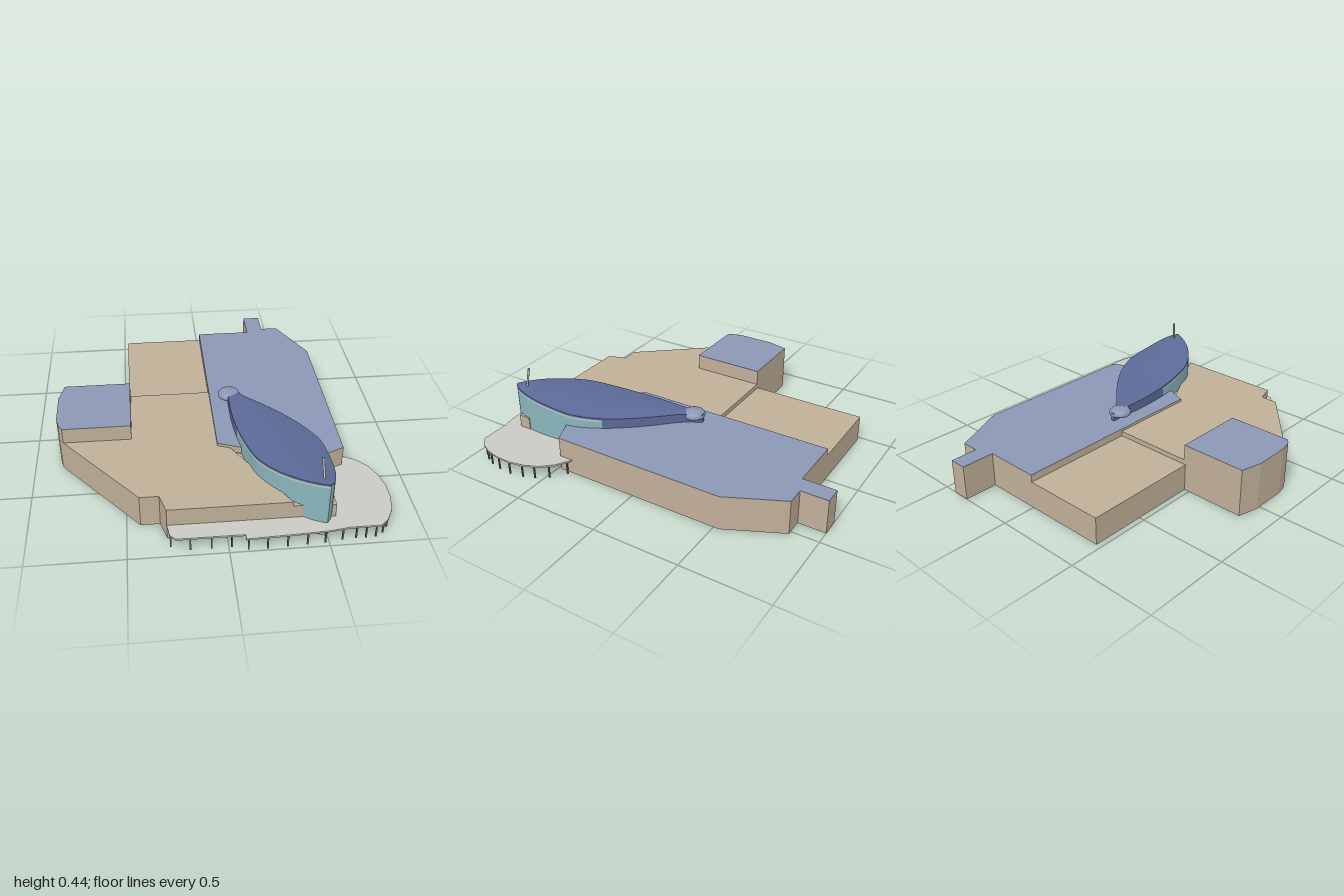
import * as THREE from 'three';

const mat = (name, color, side = THREE.DoubleSide) => {
  const m = new THREE.MeshStandardMaterial({ color, side });
  m.name = name;
  return m;
};

export function createModel() {
  const model = new THREE.Group();
  model.name = 'building';
  const stone = mat('tan stone', 0xc0b098);
  const blueRoof = mat('pale blue roof', 0x8b97b5);
  const navy = mat('deep blue metal', 0x5c6a98);
  const teal = mat('teal glass', 0x8ab6bc);
  const grey = mat('light grey', 0xcacac5);
  const dark = mat('dark grey posts', 0x6e6b68);

  const add = (name, geo, material, parent = model) => {
    const mesh = new THREE.Mesh(geo, material);
    mesh.name = name;
    parent.add(mesh);
    return mesh;
  };

  // Flat plate from plan points [x, z]; bottom at y
  const plate = (pts, y, t) => {
    const shape = new THREE.Shape(pts.map(p => new THREE.Vector2(p[0], -p[1])));
    const g = t ? new THREE.ExtrudeGeometry(shape, { depth: t, bevelEnabled: false })
      : new THREE.ShapeGeometry(shape);
    return g.rotateX(-Math.PI / 2).translate(0, y, 0);
  };

  // Grid surface through rows of Vector3 with equal lengths
  const loft = rows => {
    const n = rows[0].length, index = [];
    for (let i = 0; i < rows.length - 1; i++) {
      for (let j = 0; j < n - 1; j++) {
        const a = i * n + j, b = a + n;
        index.push(a, b, a + 1, b, b + 1, a + 1);
      }
    }
    const g = new THREE.BufferGeometry().setFromPoints(rows.flat());
    g.setIndex(index);
    g.computeVertexNormals();
    return g;
  };

  // Open-bottomed wing: each plan point is [x, z, foot of the wall that starts there]
  const wing = (name, pts, h, roofMat) => {
    const group = new THREE.Group();
    group.name = name;
    model.add(group);
    pts.forEach(([x, z, foot = 0], i) => {
      if (foot >= h) return;
      const [x2, z2] = pts[(i + 1) % pts.length];
      const len = Math.hypot(x2 - x, z2 - z);
      const g = new THREE.PlaneGeometry(len, h - foot);
      g.rotateY(Math.atan2(-(z2 - z), x2 - x));
      g.translate((x + x2) / 2, (h + foot) / 2, (z + z2) / 2);
      add('wall', g, stone, group);
    });
    const t = roofMat ? 0.005 : 0;
    add('ceiling', plate(pts, h - t), stone, group);
    if (roofMat) add('roofCovering', plate(pts, h - t, t), roofMat, group);
  };

  // Plans run counter-clockwise seen from above
  wing('backWing', [[-0.47, -0.14, 1], [0, -0.14, 1], [0, -0.81], [-0.47, -0.81]], 0.157);
  wing('middleWing', [
    [-0.46, -0.14, 1], [-0.46, 0.28, 1], [-0.83, 0.28], [-0.43, 0.765], [-0.33, 0.765],
    [-0.30, 0.87], [0.33, 0.87, 0.16], [0.07, 0.41, 1], [0, 0.38, 1], [0, -0.14, 0.157],
  ], 0.185);
  wing('lowFrontBay', [[0.07, 0.41, 1], [0.33, 0.87], [0.41, 0.87, 1], [0.15, 0.44, 1]], 0.16);
  wing('sideWing', [
    [0, -0.81, 0.157], [0, -0.14, 0.185], [0, 0.38, 0.16], [0.14, 0.435, 1], [0.54, 0.535],
    [0.67, 0.48], [0.67, -0.53], [0.52, -0.845], [0.42, -0.845], [0.42, -1], [0.32, -1],
    [0.32, -0.81],
  ], 0.2, blueRoof);
  wing('tower', [
    [-0.46, -0.14], [-0.835, -0.14], [-0.865, -0.02], [-0.865, 0.18], [-0.85, 0.25],
    [-0.83, 0.28, 0.185], [-0.46, 0.28, 0.185],
  ], 0.275, blueRoof);

  // Small porch beside the glass hull
  add('sidePorch', new THREE.BoxGeometry(0.05, 0.16, 0.07).translate(0.522, 0.08, 0.845), stone);

  // Leaf-shaped hall: stations of z, left edge x, right edge x, rim height
  const stations = [
    [-0.1, 0.1, 0.12, 0.246], [0, 0.1, 0.18, 0.251], [0.1, 0.098, 0.275, 0.254],
    [0.2, 0.1, 0.365, 0.257], [0.34, 0.112, 0.465, 0.262], [0.5, 0.14, 0.535, 0.274],
    [0.64, 0.18, 0.547, 0.288], [0.75, 0.25, 0.547, 0.301], [0.84, 0.34, 0.537, 0.315],
    [0.9, 0.43, 0.515, 0.325], [0.925, 0.485, 0.495, 0.33],
  ];
  const N = 40, split = 16;
  const edge = k => new THREE.CatmullRomCurve3(
    stations.map(s => new THREE.Vector3(s[k], s[3], s[0]))).getPoints(N);
  const edges = [edge(1), edge(2)];

  // Cambered roof skin
  const hall = new THREE.Group();
  hall.name = 'leafHall';
  model.add(hall);
  const across = 8;
  add('leafRoof', loft(edges[0].map((a, i) => {
    const b = edges[1][i];
    return Array.from({ length: across + 1 }, (_, j) => {
      const p = a.clone().lerp(b, j / across);
      p.y += 0.04 * a.distanceTo(b) * Math.sin(Math.PI * j / across);
      return p;
    });
  })), navy, hall);

  // Roof edge, pale trim and walls on both sides, plus the blunt bow and stern
  const band = (name, pts, drop0, drop1, m) => add(name, loft(pts.map(p => [
    p.clone().setY(p.y - drop0),
    p.clone().setY(drop1 === null ? 0 : p.y - drop1),
  ])), m, hall);
  const bow = [edges[0][N], edges[1][N]], stern = [edges[0][0], edges[1][0]];
  for (const pts of [...edges, bow, stern]) {
    band('roofEdge', pts, 0, 0.012, navy);
    if (pts === stern) band('rearWall', pts, 0.012, null, navy);
    else if (pts === bow) {
      band('trim', pts, 0.012, 0.021, grey);
      band('frontGlass', pts, 0.021, null, teal);
    } else {
      band('rearWall', pts.slice(0, split + 1), 0.012, null, navy);
      band('trim', pts.slice(split), 0.012, 0.021, grey);
      band('glassWall', pts.slice(split), 0.021, null, teal);
    }
  }

  // Round cap at the rear tip of the leaf
  const capProfile = [[0, 0.218], [0.05, 0.218], [0.061, 0.224], [0.063, 0.238], [0.055, 0.25],
    [0.035, 0.259], [0, 0.263]].map(p => new THREE.Vector2(...p));
  add('roundCap', new THREE.LatheGeometry(capProfile, 24).translate(0.11, 0, -0.04), blueRoof);

  // Leaning mast
  const mastPath = new THREE.LineCurve3(
    new THREE.Vector3(0.475, 0.31, 0.867), new THREE.Vector3(0.463, 0.435, 0.848));
  add('mast', new THREE.TubeGeometry(mastPath, 1, 0.006, 8), grey);

  // Raised terrace around the front
  add('terrace', plate([
    [-0.3, 0.87], [-0.29, 0.94], [-0.26, 0.97], [0.08, 0.97], [0.08, 1], [0.3, 0.992],
    [0.5, 0.982], [0.6, 0.967], [0.76, 0.967], [0.805, 0.925], [0.84, 0.86], [0.86, 0.77],
    [0.862, 0.68], [0.845, 0.59], [0.81, 0.51], [0.75, 0.445], [0.67, 0.4], [0.67, 0.48],
    [0.54, 0.535], [0.54, 0.83], [0.49, 0.92], [0.41, 0.87],
  ], 0.075, 0.01), grey);

  // Terrace posts
  const posts = [
    [-0.285, 0.93], [-0.19, 0.96], [-0.085, 0.96], [0.015, 0.96], [0.095, 0.985], [0.19, 0.985],
    [0.29, 0.982], [0.39, 0.978], [0.48, 0.973], [0.57, 0.96], [0.64, 0.955], [0.69, 0.955],
    [0.74, 0.955], [0.782, 0.93], [0.812, 0.89], [0.835, 0.84], [0.85, 0.77], [0.854, 0.69],
    [0.84, 0.61], [0.815, 0.545], [0.77, 0.48], [0.69, 0.42],
  ];
  for (const [x, z] of posts) {
    add('terracePost', new THREE.BoxGeometry(0.008, 0.075, 0.008).translate(x, 0.0375, z), dark);
  }
  return model;
}
